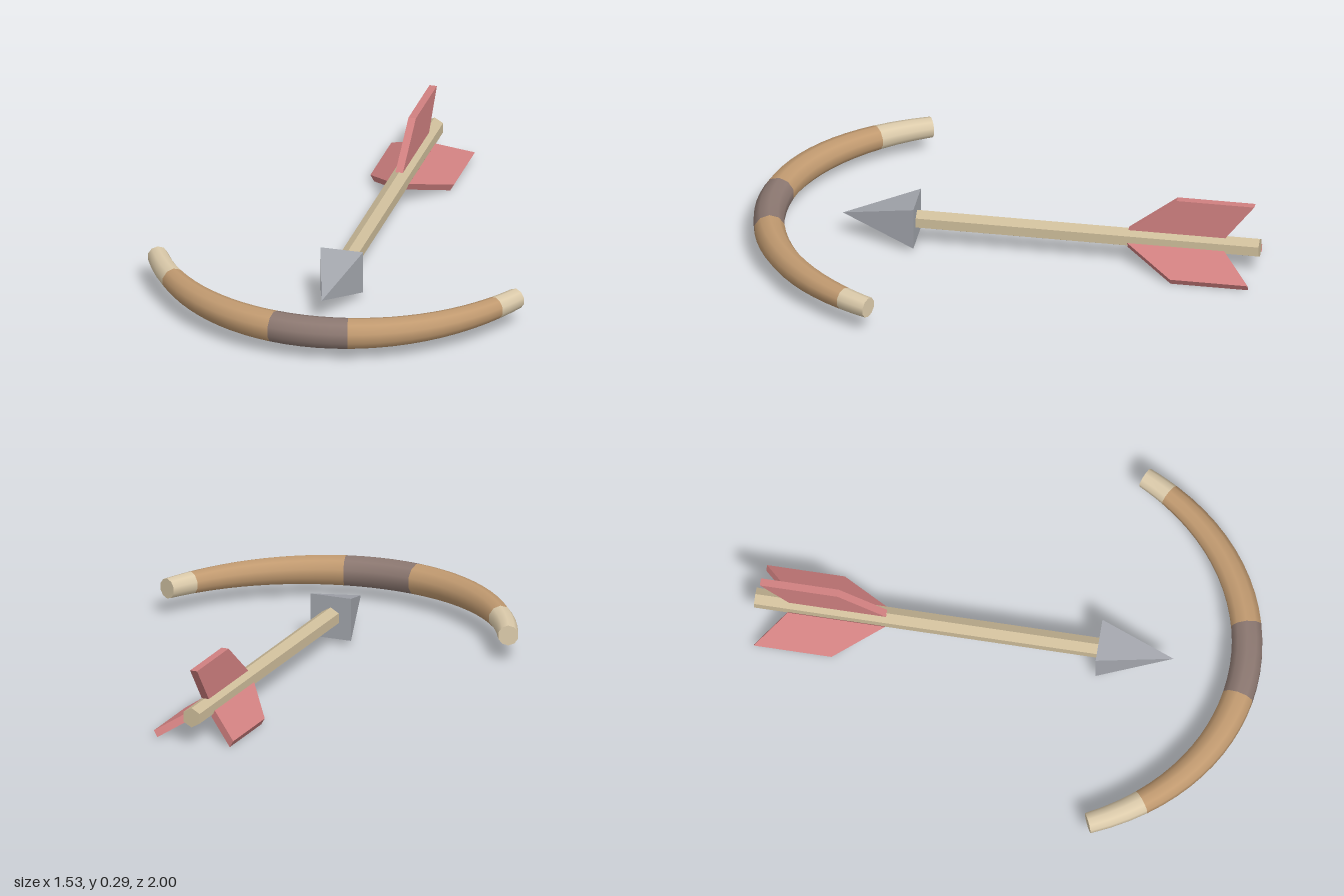
import * as THREE from 'three';

const paint = (name, color, flatShading = false) => {
  const m = new THREE.MeshStandardMaterial({ color });
  m.name = name;
  m.flatShading = flatShading;
  return m;
};

const AXIS_Y = 0.113; // height of the bow and arrow centre lines
const SIDES = 10;

// Bow centre line in the horizontal plane
const bowCurve = new THREE.CubicBezierCurve3(
  new THREE.Vector3(-0.7275, AXIS_Y, 0.4286),
  new THREE.Vector3(-0.41, AXIS_Y, 1.107),
  new THREE.Vector3(0.41, AXIS_Y, 1.107),
  new THREE.Vector3(0.7275, AXIS_Y, 0.4286)
);

// One ring of the bow: points and outward directions
function bowRing(t) {
  const p = bowCurve.getPoint(t);
  const tan = bowCurve.getTangent(t);
  const out = new THREE.Vector3(-tan.z, 0, tan.x);
  const r = 0.041 + 0.022 * Math.sin(Math.PI * t);
  const ring = [];
  for (let k = 0; k < SIDES; k++) {
    const a = ((k + 0.5) / SIDES) * Math.PI * 2;
    const n = out.clone().multiplyScalar(Math.cos(a));
    n.y = Math.sin(a);
    ring.push({ n, p: p.clone().addScaledVector(n, r) });
  }
  return { ring, p, tan };
}

// Tapered tube between two curve parameters, capped at the bow's ends
function bowSection(name, t0, t1, material) {
  const steps = Math.max(3, Math.round((t1 - t0) * 30));
  const pos = [], nor = [], idx = [];
  const add = (p, n) => {
    pos.push(p.x, p.y, p.z);
    nor.push(n.x, n.y, n.z);
    return pos.length / 3 - 1;
  };
  for (let i = 0; i <= steps; i++) {
    bowRing(t0 + ((t1 - t0) * i) / steps).ring.forEach(v => add(v.p, v.n));
  }
  for (let i = 0; i < steps; i++) {
    for (let k = 0; k < SIDES; k++) {
      const k2 = (k + 1) % SIDES;
      const a = i * SIDES + k, c = i * SIDES + k2;
      idx.push(a, a + SIDES, c, a + SIDES, c + SIDES, c);
    }
  }
  for (const t of [0, 1]) {
    if (t !== t0 && t !== t1) continue;
    const { ring, p, tan } = bowRing(t);
    const n = tan.clone().multiplyScalar(t ? 1 : -1);
    const centre = add(p, n);
    const rim = ring.map(v => add(v.p, n));
    rim.forEach((v, k) => {
      const w = rim[(k + 1) % SIDES];
      idx.push(centre, ...(t ? [w, v] : [v, w]));
    });
  }
  const geo = new THREE.BufferGeometry();
  geo.setAttribute('position', new THREE.Float32BufferAttribute(pos, 3));
  geo.setAttribute('normal', new THREE.Float32BufferAttribute(nor, 3));
  geo.setIndex(idx);
  const mesh = new THREE.Mesh(geo, material);
  mesh.name = name;
  return mesh;
}

export function createModel() {
  const wood = paint('bow wood', 0xc19a70);
  const gripMat = paint('grip wrap', 0x8c7871);
  const tipMat = paint('pale tip', 0xdccbab);
  const shaftMat = paint('arrow wood', 0xcebd9a, true);
  const steel = paint('steel', 0xa3a6ad, true);
  const feather = paint('red feather', 0xd08080, true);

  const model = new THREE.Group();
  model.name = 'bowAndArrow';

  // Bow
  const bow = new THREE.Group();
  bow.name = 'bow';
  bow.add(
    bowSection('rightTip', 0, 0.107, tipMat),
    bowSection('rightLimb', 0.107, 0.43, wood),
    bowSection('grip', 0.43, 0.605, gripMat),
    bowSection('leftLimb', 0.605, 0.945, wood),
    bowSection('leftTip', 0.945, 1, tipMat)
  );
  model.add(bow);

  // Arrow, built around the z axis and then lifted
  const arrow = new THREE.Group();
  arrow.name = 'arrow';
  arrow.position.y = AXIS_Y;
  model.add(arrow);

  // Six-sided shaft with an edge on top
  const shaftGeo = new THREE.CylinderGeometry(0.04, 0.04, 1.37, 6);
  shaftGeo.rotateX(Math.PI / 2);
  const shaft = new THREE.Mesh(shaftGeo, shaftMat);
  shaft.name = 'shaft';
  shaft.position.z = -0.315;
  arrow.add(shaft);

  // Square pyramid head pointing forward
  const headGeo = new THREE.ConeGeometry(0.0865 * Math.SQRT2, 0.295, 4);
  headGeo.rotateY(Math.PI / 4);
  headGeo.rotateX(Math.PI / 2);
  const head = new THREE.Mesh(headGeo, steel);
  head.name = 'arrowhead';
  head.position.z = 0.5075;
  arrow.add(head);

  // Three fletchings around the shaft
  const outline = new THREE.Shape([
    new THREE.Vector2(-0.865, 0.038),
    new THREE.Vector2(-0.48, 0.038),
    new THREE.Vector2(-0.672, 0.187),
    new THREE.Vector2(-0.98, 0.187)
  ]);
  const vaneGeo = new THREE.ExtrudeGeometry(outline, { depth: 0.03, bevelEnabled: false });
  vaneGeo.translate(0, 0, -0.015);
  vaneGeo.rotateY(-Math.PI / 2);
  ['topFletching', 'rightFletching', 'leftFletching'].forEach((name, i) => {
    const vane = new THREE.Mesh(vaneGeo, feather);
    vane.name = name;
    vane.rotation.z = (i * Math.PI * 2) / 3;
    arrow.add(vane);
  });

  return model;
}
